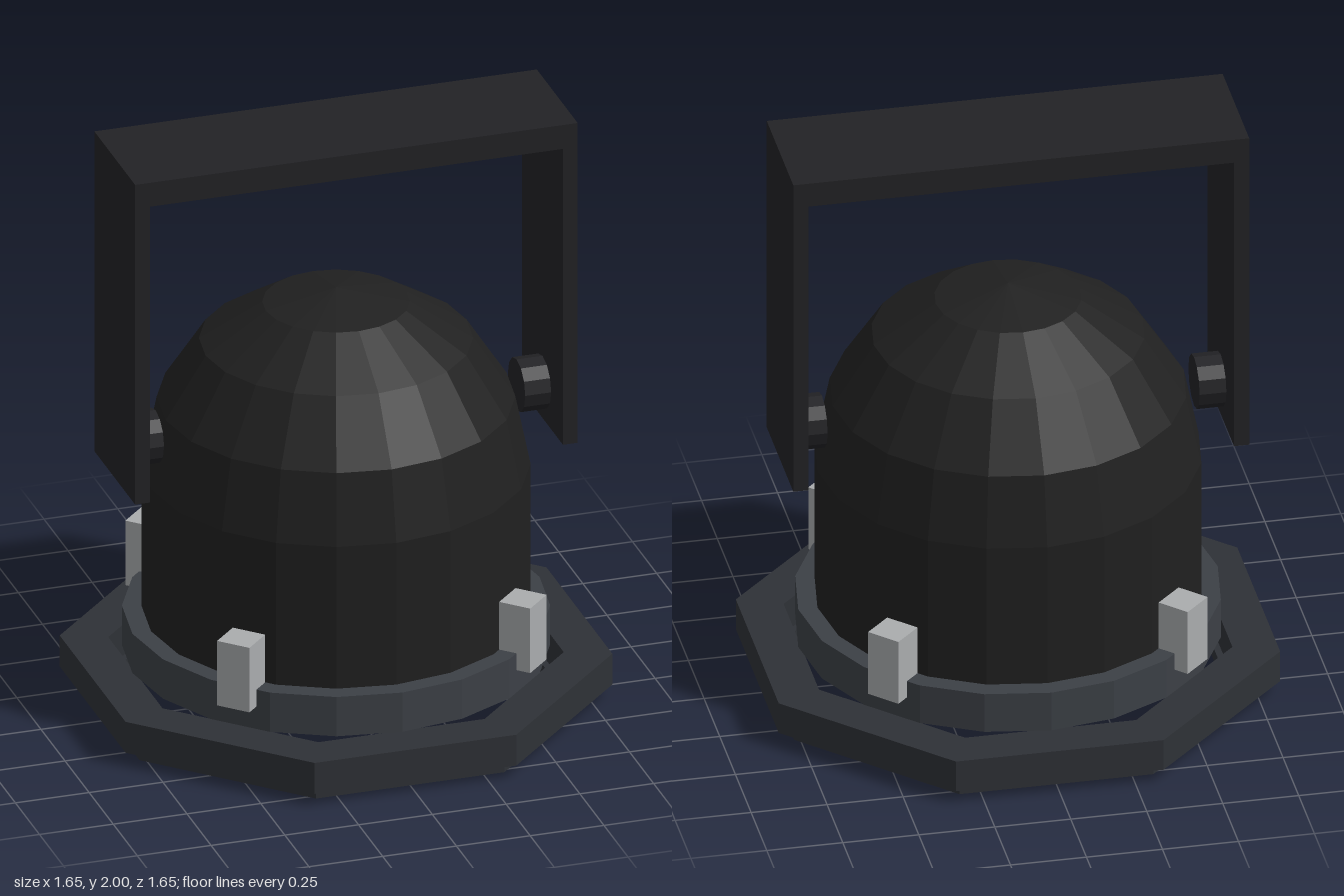
import * as THREE from 'three';

const mat = (color) => new THREE.MeshStandardMaterial({ color, flatShading: true, side: THREE.DoubleSide });
const black = mat(0x202020);
const yokeBlack = mat(0x222225);
const frameGrey = mat(0x2e3136);
const flangeGrey = mat(0x3c4046);
const steel = mat(0xaaacae);
const lensGrey = mat(0x606366);

function add(parent, name, geometry, material, x = 0, y = 0, z = 0) {
  const mesh = new THREE.Mesh(geometry, material);
  mesh.name = name;
  mesh.position.set(x, y, z);
  parent.add(mesh);
  return mesh;
}

// Ring with a rectangular section, turned with the given number of sides
function ring(inner, outer, y0, y1, sides, start = 0) {
  const section = [[inner, y0], [outer, y0], [outer, y1], [inner, y1], [inner, y0]];
  return new THREE.LatheGeometry(section.map(([r, y]) => new THREE.Vector2(r, y)), sides, start);
}

// Octagonal ring measured across its flats
function octagon(inner, outer, y0, y1) {
  const k = 1 / Math.cos(Math.PI / 8);
  return ring(inner * k, outer * k, y0, y1, 8, Math.PI / 8);
}

export function createModel() {
  const model = new THREE.Group();
  model.name = 'spotlight';

  // Domed lamp housing, open at the bottom
  const profile = [[0.627, 0.155], [0.627, 0.8], [0.578, 1.04], [0.442, 1.25], [0.238, 1.38], [0, 1.43]];
  add(model, 'housing', new THREE.LatheGeometry(profile.map(([r, y]) => new THREE.Vector2(r, y)), 20), black);

  // Lens set up inside the housing
  const lens = add(model, 'lens', new THREE.CircleGeometry(0.617, 20), lensGrey, 0, 0.66, 0);
  lens.rotation.x = Math.PI / 2;

  // Round flange and the two-step octagonal filter frame
  add(model, 'flange', ring(0.625, 0.69, 0.155, 0.295, 20), flangeGrey);
  add(model, 'frameUpper', octagon(0.68, 0.825, 0.045, 0.155), frameGrey);
  add(model, 'frameLower', octagon(0.658, 0.77, 0, 0.045), frameGrey);

  // Four clips on the diagonals
  for (let i = 0; i < 4; i++) {
    const a = Math.PI / 4 + i * Math.PI / 2;
    const clip = add(model, 'clip', new THREE.BoxGeometry(0.117, 0.23, 0.117), steel,
      Math.sin(a) * 0.673, 0.35, Math.cos(a) * 0.673);
    clip.rotation.y = a;
  }

  // Hanging yoke: one U-shaped strip
  const u = new THREE.Shape([
    [-0.75, 0.86], [-0.7, 0.86], [-0.7, 1.915], [0.7, 1.915],
    [0.7, 0.86], [0.75, 0.86], [0.75, 2], [-0.75, 2],
  ].map(([x, y]) => new THREE.Vector2(x, y)));
  add(model, 'yoke', new THREE.ExtrudeGeometry(u, { depth: 0.424, bevelEnabled: false }), yokeBlack, 0, 0, -0.212);

  // Pivot knobs between yoke and housing
  for (const s of [-1, 1]) {
    const knob = add(model, 'pivotKnob', new THREE.CylinderGeometry(0.09, 0.09, 0.09, 12), yokeBlack, s * 0.657, 0.992, 0);
    knob.rotation.z = Math.PI / 2;
  }
  return model;
}
